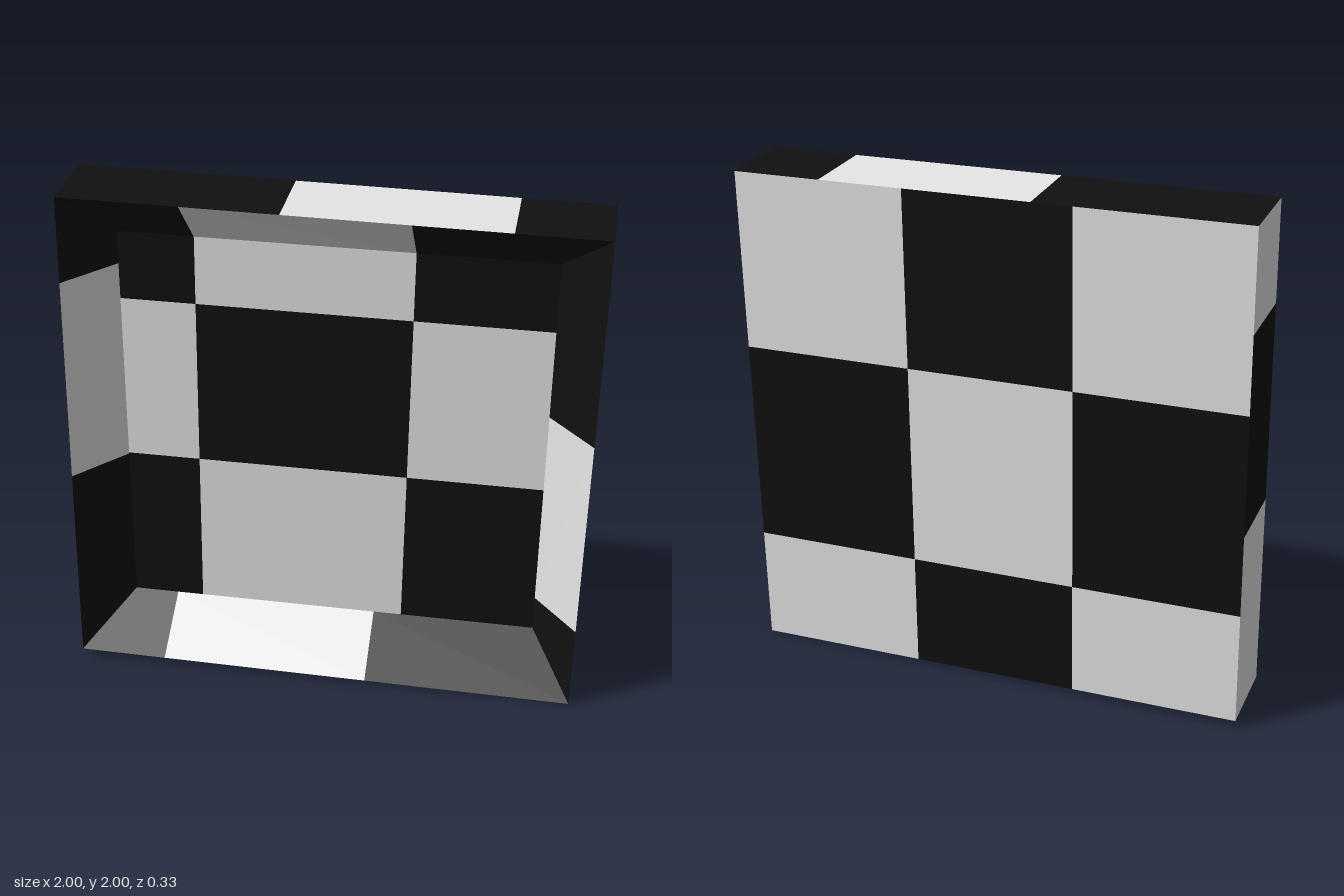
import * as THREE from 'three';

const light = new THREE.MeshStandardMaterial({ color: 0xe7e7e7 });
light.name = 'light square';
const dark = new THREE.MeshStandardMaterial({ color: 0x101010 });
dark.name = 'dark square';

const FRONT = 0.163, BACK = -0.163, FLOOR = -0.045;

// Corners clockwise from the top left, seen from the front
const RIM = [[-0.97, 2.0], [1.0, 1.968], [0.966, 0], [-1.0, 0.035]];
const INNER = [[-0.81, 1.795], [0.82, 1.78], [0.8, 0.2], [-0.82, 0.215]];
const at = (corners, z) => corners.map(([x, y]) => new THREE.Vector3(x, y, z));

// Chequered panel: corners a-b-c-d run clockwise seen from outside.
// uTop and uBottom are the cuts along a-b and d-c, v the cuts from a to d.
function panel(name, [a, b, c, d], uTop, uBottom, v, startsDark) {
  const top = [0, ...uTop, 1], bottom = [0, ...uBottom, 1], rows = [0, ...v, 1];
  const point = (i, j) => {
    const p = a.clone().lerp(b, top[i]);
    const q = d.clone().lerp(c, bottom[i]);
    return p.lerp(q, rows[j]);
  };
  const geometry = new THREE.BufferGeometry();
  const points = [];
  for (let j = 0; j < rows.length - 1; j++) {
    for (let i = 0; i < top.length - 1; i++) {
      const [p, q, r, s] = [point(i, j), point(i + 1, j), point(i + 1, j + 1), point(i, j + 1)];
      const isDark = ((i + j) % 2 === 0) === startsDark;
      geometry.addGroup(points.length, 6, isDark ? 1 : 0);
      points.push(p, s, r, p, r, q);
    }
  }
  geometry.setFromPoints(points);
  geometry.computeVertexNormals();
  const mesh = new THREE.Mesh(geometry, [light, dark]);
  mesh.name = name;
  return mesh;
}

// Cuts along each side of the frame, clockwise from the top
const SIDES = [
  { name: 'top', rim: [0.228, 0.647], inner: [0.178, 0.681], outer: [0.411, 0.827], outerDark: true },
  { name: 'left', rim: [0.411, 0.825], inner: [0.394, 0.909], outer: [0.183, 0.584], outerDark: false },
  { name: 'bottom', rim: [0.412, 0.827], inner: [0.394, 0.892], outer: [0.168, 0.588], outerDark: true },
  { name: 'right', rim: [0.415, 0.83], inner: [0.402, 0.918], outer: [0.4, 0.8], outerDark: false },
];

export function createModel() {
  const model = new THREE.Group();
  model.name = 'chequeredTray';
  const rim = at(RIM, FRONT), back = at(RIM, BACK), floor = at(INNER, FLOOR);

  // Sloping inner walls and straight outer walls
  SIDES.forEach((side, i) => {
    const n = (i + 1) % 4;
    model.add(
      panel(side.name + 'InnerWall', [rim[i], rim[n], floor[n], floor[i]], side.rim, side.inner, [], true),
      panel(side.name + 'OuterWall', [back[i], back[n], rim[n], rim[i]], side.outer, side.outer, [], side.outerDark),
    );
  });

  // Recessed floor and flat back
  model.add(
    panel('floor', floor, [0.178, 0.681], [0.172, 0.674], [0.172, 0.595], true),
    panel('back', [back[1], back[0], back[3], back[2]], [0.34, 0.668], [0.336, 0.668], [0.355, 0.767], false),
  );
  return model;
}
